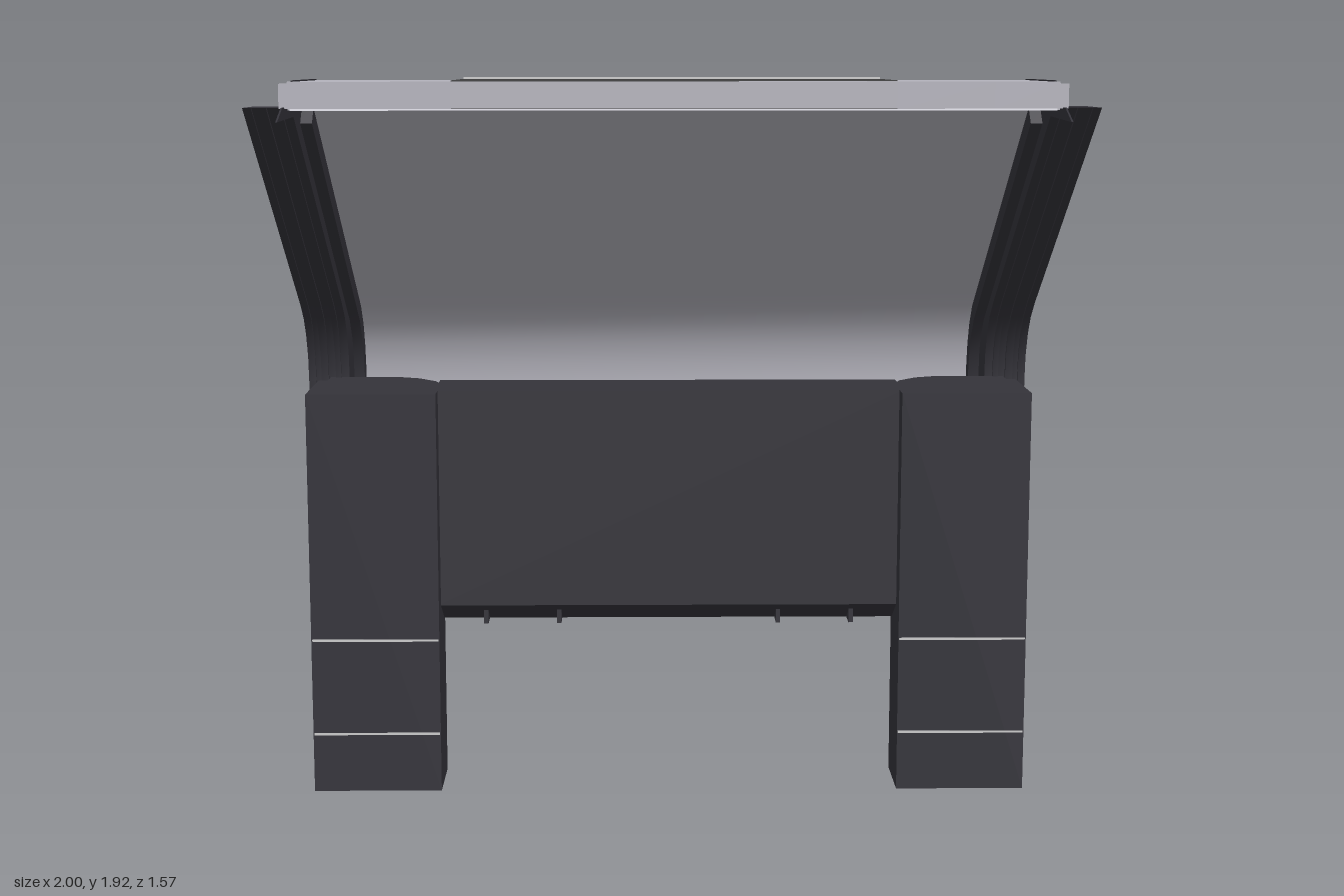
import * as THREE from 'three';
import { toCreasedNormals } from 'three/addons/utils/BufferGeometryUtils.js';

const mat = (color) => new THREE.MeshStandardMaterial({ color, side: THREE.DoubleSide });
const DARK = mat(0x34333a), LIGHT = mat(0xb4b3bc), PANEL = mat(0x3c3c3c), SEAM = mat(0xcccccc);

// Side profiles as [z, y] points, running from the front down to the back
const SHELL_OUT = [[0.67, 1.92], [0.27, 1.92], [-0.58, 1.385], [-0.66, 1.335], [-0.72, 1.28],
  [-0.757, 1.21], [-0.775, 1.14], [-0.782, 1.05], [-0.778, 0.98]];
const SHELL_IN = [[0.67, 1.857], [0.27, 1.855], [-0.55, 1.33], [-0.62, 1.285], [-0.67, 1.23],
  [-0.70, 1.17], [-0.715, 1.11], [-0.72, 1.04], [-0.715, 0.97]];
const RAIL_OUT = [[0.27, 1.855], [-0.55, 1.33], [-0.60, 1.29], [-0.64, 1.235], [-0.665, 1.17], [-0.675, 1.09], [-0.675, 0]];
const RAIL_IN = [[0.465, 1.855], [-0.40, 1.31], [-0.46, 1.265], [-0.50, 1.215], [-0.53, 1.15], [-0.54, 1.08], [-0.54, 0]];

const band = (outer, inner) => [...outer, ...[...inner].reverse()];
const mix = (a, b, t) => a.map((p, i) => [p[0] + (b[i][0] - p[0]) * t, p[1] + (b[i][1] - p[1]) * t]);

function add(parent, name, geometry, material) {
  const mesh = new THREE.Mesh(geometry, material);
  mesh.name = name;
  parent.add(mesh);
  return mesh;
}

// Extrude a [z, y] profile sideways from x0 to x1
function sideways(points, x0, x1) {
  const shape = new THREE.Shape(points.map(([z, y]) => new THREE.Vector2(-z, y)));
  const geo = new THREE.ExtrudeGeometry(shape, { depth: x1 - x0, bevelEnabled: false });
  geo.rotateY(Math.PI / 2).translate(x0, 0, 0);
  return toCreasedNormals(geo, 0.45);
}

// Extrude an [x, z] plan upwards from y0 to y1
function upwards(points, y0, y1) {
  const shape = new THREE.Shape(points.map(([x, z]) => new THREE.Vector2(x, -z)));
  const geo = new THREE.ExtrudeGeometry(shape, { depth: y1 - y0, bevelEnabled: false });
  return geo.rotateX(-Math.PI / 2).translate(0, y0, 0);
}

function box(parent, name, size, pos, material) {
  const mesh = add(parent, name, new THREE.BoxGeometry(...size), material);
  mesh.position.set(...pos);
  return mesh;
}

function roundRect(path, w, h, r) {
  const x = w / 2, y = h / 2;
  path.moveTo(-x + r, -y);
  path.lineTo(x - r, -y).quadraticCurveTo(x, -y, x, -y + r);
  path.lineTo(x, y - r).quadraticCurveTo(x, y, x - r, y);
  path.lineTo(-x + r, y).quadraticCurveTo(-x, y, -x, y - r);
  path.lineTo(-x, -y + r).quadraticCurveTo(-x, -y, -x + r, -y);
  return path;
}

// Flat frame with a rounded opening
function frame(w, h, rim, depth) {
  const shape = roundRect(new THREE.Shape(), w, h, 0.05);
  shape.holes.push(roundRect(new THREE.Path(), w - rim * 2, h - rim * 2, 0.04));
  return toCreasedNormals(new THREE.ExtrudeGeometry(shape, { depth, bevelEnabled: false, curveSegments: 5 }), 0.5);
}

export function createModel() {
  const model = new THREE.Group();

  // Canopy: dark centre strip and two light side panels
  const canopy = new THREE.Group();
  canopy.name = 'canopy';
  model.add(canopy);
  const centre = band([...SHELL_OUT, [-0.755, 0.92]], [...SHELL_IN, [-0.70, 0.92]]);
  add(canopy, 'canopyCentre', sideways(centre, -0.5, 0.5), PANEL);
  add(canopy, 'canopyLining', sideways(band(SHELL_IN, SHELL_IN.map(([z, y]) => [z + 0.003, y - 0.004])), -0.86, 0.86), LIGHT);
  box(canopy, 'frontEdge', [1, 0.06, 0.006], [0, 1.888, 0.671], LIGHT);
  box(canopy, 'creaseLine', [1, 0.006, 0.012], [0, 1.921, 0.268], SEAM);

  const lowOut = [...SHELL_OUT, [-0.755, 0.90], [-0.675, 0.67]];
  const lowIn = [...SHELL_IN, [-0.70, 0.90], [-0.645, 0.70]];

  for (const s of [1, -1]) {
    const side = new THREE.Group();
    side.name = s > 0 ? 'leftSide' : 'rightSide';
    model.add(side);
    const span = (a, b) => (s > 0 ? [a, b] : [-b, -a]);

    // Canopy side panel, lower horn, and dark edge seal
    add(side, 'canopySide', sideways(centre.map(([z, y]) => [z, y - 0.003]), ...span(0.5, 0.72)), LIGHT);
    add(side, 'canopyEdge', sideways(band(lowOut, lowIn).map(([z, y]) => [z, y - 0.003]), ...span(0.72, 0.865)), LIGHT);
    add(side, 'canopyRim', sideways(mix(lowOut, lowIn, 0.12).concat([...lowIn].reverse()), ...span(0.865, 0.885)), LIGHT);
    const seal = SHELL_IN.slice(1).concat([[-0.66, 0.70]]);
    add(side, 'edgeSeal', sideways(band(seal, seal.map(([z, y]) => [z + 0.04, y - 0.04])), ...span(0.86, 0.9)), DARK);
    add(side, 'frontFin', sideways([[0.785, 1.83], [0.70, 1.86], [0.27, 1.86], [0.45, 1.838]], ...span(0.872, 0.876)), DARK);
    for (const x of [0.852]) {
      const line = SHELL_OUT.slice(0, 3);
      add(side, 'panelSeam', sideways(band(line, line.map(([z, y]) => [z, y - 0.01])), ...span(x, x + 0.005)), DARK);
    }

    // Bent rail: stacked layers leave long grooves
    const layers = [[0.888, 0.91, 0.12], [0.91, 0.925, 0], [0.925, 0.945, 0.14], [0.945, 0.965, 0], [0.965, 0.98, 0.1], [0.98, 1, 0]];
    for (const [a, b, t] of layers) {
      const outer = mix(RAIL_OUT, RAIL_IN, t), inner = mix(RAIL_IN, RAIL_OUT, t * 0.5);
      add(side, 'rail', sideways(band(outer, inner), ...span(a, b)), DARK);
    }

    // Leg with chamfered back corner, and the web joining it to the rail
    const plan = [[0.62, -0.2], [0.965, -0.2], [0.965, -0.48], [0.94, -0.48], [0.94, -0.55], [0.75, -0.55],
      [0.69, -0.52], [0.64, -0.46], [0.62, -0.40]].map(([x, z]) => [x * s, z]);
    add(side, 'leg', upwards(plan, 0, 1.09), DARK);
    box(side, 'legWeb', [0.1, 1.05, 0.1], [0.9 * s, 0.525, -0.57], DARK);
    for (const y of [0.16, 0.42]) box(side, 'legSeam', [0.34, 0.006, 0.004], [0.792 * s, y, -0.2], SEAM);

    // Bracket between the leg and the rear hood
    add(side, 'hoodBracket', sideways([[-0.45, 1.0], [-0.70, 0.95], [-0.66, 0.72], [-0.54, 0.62], [-0.45, 0.62]], ...span(0.66, 0.89)), DARK);
  }

  // Cross beam between the legs
  add(model, 'crossBeam', sideways([[-0.27, 0.5], [-0.27, 1.09], [-0.48, 1.09], [-0.48, 0.44], [-0.38, 0.44]], -0.63, 0.63), DARK);
  for (const x of [-0.5, -0.3, 0.3, 0.5]) box(model, 'beamRib', [0.012, 0.07, 0.1], [x, 0.475, -0.36], DARK);

  // Rear hood: body, sloping panel and layered frame
  add(model, 'hoodBody', sideways([[-0.46, 1.08], [-0.71, 1.02], [-0.72, 0.93], [-0.70, 0.87], [-0.45, 0.48], [-0.42, 0.48]], -0.68, 0.68), LIGHT);
  const hood = new THREE.Group();
  hood.name = 'hoodPanel';
  hood.position.set(0, 0.66, -0.6);
  hood.rotation.x = Math.PI - 0.58;
  model.add(hood);
  add(hood, 'hoodFrame', frame(1.38, 0.52, 0.05, 0.05), LIGHT).position.z = -0.045;
  add(hood, 'hoodInnerFrame', frame(1.29, 0.43, 0.02, 0.03), DARK).position.z = -0.04;
  box(hood, 'hoodFlap', [0.9, 0.1, 0.03], [0, -0.2, -0.005], PANEL);

  return model;
}
